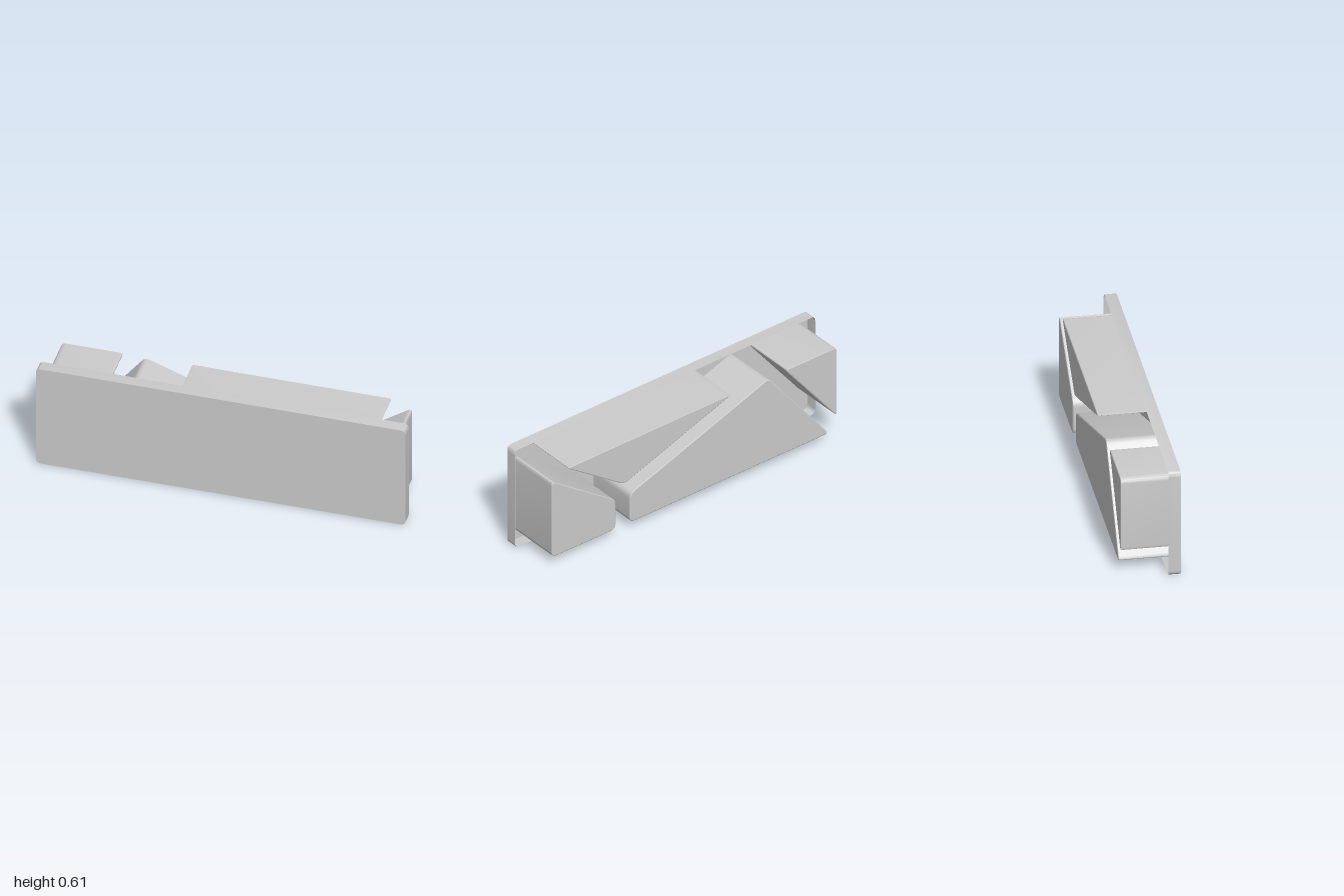
import * as THREE from 'three';
import { toCreasedNormals } from 'three/addons/utils/BufferGeometryUtils.js';

const FRONT = 0.155, RIM_BACK = 0.09, BACK = -0.155;

// Closed polygon whose corners are softened by a small setback
function roundedShape(corners, setback) {
  const shape = new THREE.Shape();
  const pts = corners.map(([x, y]) => new THREE.Vector2(x, y));
  const toward = (a, b) => a.clone().add(b.clone().sub(a).setLength(setback));
  pts.forEach((p, i) => {
    const start = toward(p, pts[(i + pts.length - 1) % pts.length]);
    const end = toward(p, pts[(i + 1) % pts.length]);
    if (i === 0) shape.moveTo(start.x, start.y);
    else shape.lineTo(start.x, start.y);
    shape.quadraticCurveTo(p.x, p.y, end.x, end.y);
  });
  shape.closePath();
  return shape;
}

// Thin wall following an outline from z0 to z1
function wallGeometry(outline, z0, z1) {
  const position = [], n = outline.length;
  outline.forEach((a, i) => {
    const b = outline[(i + 1) % n];
    position.push(a.x, a.y, z0, b.x, b.y, z0, b.x, b.y, z1);
    position.push(a.x, a.y, z0, b.x, b.y, z1, a.x, a.y, z1);
  });
  const geometry = new THREE.BufferGeometry();
  geometry.setAttribute('position', new THREE.Float32BufferAttribute(position, 3));
  geometry.computeVertexNormals();
  return toCreasedNormals(geometry, 0.6);
}

export function createModel() {
  const model = new THREE.Group();
  const material = new THREE.MeshStandardMaterial({ color: 0xcccccc, side: THREE.DoubleSide });
  const add = (name, geometry, parent = model) => {
    const mesh = new THREE.Mesh(geometry, material);
    mesh.name = name;
    parent.add(mesh);
    return mesh;
  };

  // Shallow tray: front panel with a thin rim, open at the back
  const tray = new THREE.Group();
  tray.name = 'tray';
  model.add(tray);
  const panel = roundedShape([[-1, 0], [1, 0], [1, 0.613], [-1, 0.613]], 0.03);
  add('frontPanel', new THREE.ShapeGeometry(panel, 6), tray).position.z = FRONT;
  const outline = panel.getPoints(6);
  if (outline[0].distanceTo(outline[outline.length - 1]) < 1e-6) outline.pop();
  add('rim', wallGeometry(outline, RIM_BACK, FRONT), tray);

  // Blocks standing on the inside of the panel, with slightly eased ends
  const blocks = {
    cornerWedge: [[-0.95, 0.57], [-0.95, 0.135], [-0.605, 0.57]],
    centralBlock: [[-0.895, 0.05], [0.43, 0.05], [0.43, 0.23], [-0.495, 0.565]],
    upperWedge: [[-0.255, 0.57], [0.469, 0.308], [0.85, 0.57]],
    endBlock: [[0.525, 0.05], [0.95, 0.05], [0.95, 0.53], [0.525, 0.235]],
  };
  const ease = 0.003, depth = FRONT - BACK - 0.001;
  for (const [name, corners] of Object.entries(blocks)) {
    const geometry = new THREE.ExtrudeGeometry(roundedShape(corners, 0.03), {
      depth: depth - 2 * ease, curveSegments: 5,
      bevelThickness: ease, bevelSize: 0.005, bevelOffset: -0.005, bevelSegments: 1,
    });
    add(name, toCreasedNormals(geometry, 0.5)).position.z = BACK + ease;
  }
  return model;
}
